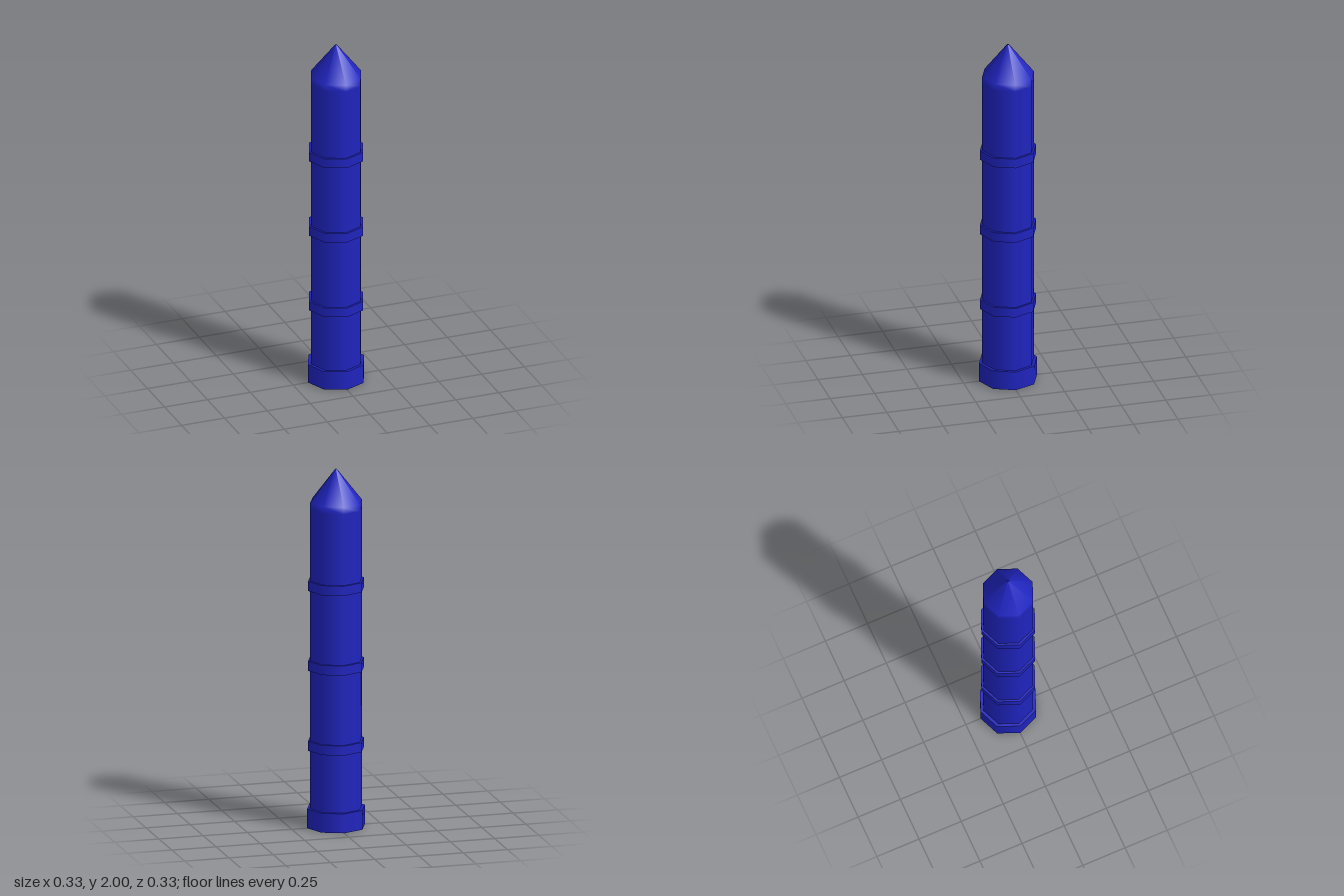
import * as THREE from 'three';
import { mergeGeometries } from 'three/addons/utils/BufferGeometryUtils.js';

const SIDES = 8;
const BODY = 0.146, BORE = 0.113, HOLE = 0.005;

export function createModel() {
  const group = new THREE.Group();
  const material = new THREE.MeshStandardMaterial({ color: 0x1f24c0 });

  const lathe = (points) =>
    new THREE.LatheGeometry(points.map(([r, y]) => new THREE.Vector2(r, y)), SIDES);

  const add = (name, geometry) => {
    const mesh = new THREE.Mesh(geometry, material);
    mesh.name = name;
    group.add(mesh);
  };

  // Octagonal collar: sharp rims, smooth around the axis
  const collar = (name, outer, inner, y0, y1) => {
    const profile = [[inner, y0], [outer, y0], [outer, y1], [inner, y1], [inner, y0]];
    const strips = profile.slice(1).map((p, i) => lathe([profile[i], p]));
    add(name, mergeGeometries(strips));
  };

  // Hollow shaft
  collar('shaft', BODY, BORE, 0.05, 1.78);

  // Pointed tip, softly blended into the shaft, with a pinhole at the apex
  add('tip', lathe([[BODY, 1.78], [BODY, 1.82], [HOLE, 2]]));
  add('tipLining', lathe([[HOLE, 2], [BORE, 1.8], [BORE, 1.78]]));

  // Base and the three bands
  collar('base', 0.163, 0.12, 0, 0.108);
  [0.46, 0.908, 1.355].forEach((y, i) =>
    collar(`band${i + 1}`, 0.158, BODY - 0.01, y - 0.027, y + 0.027));

  return group;
}
